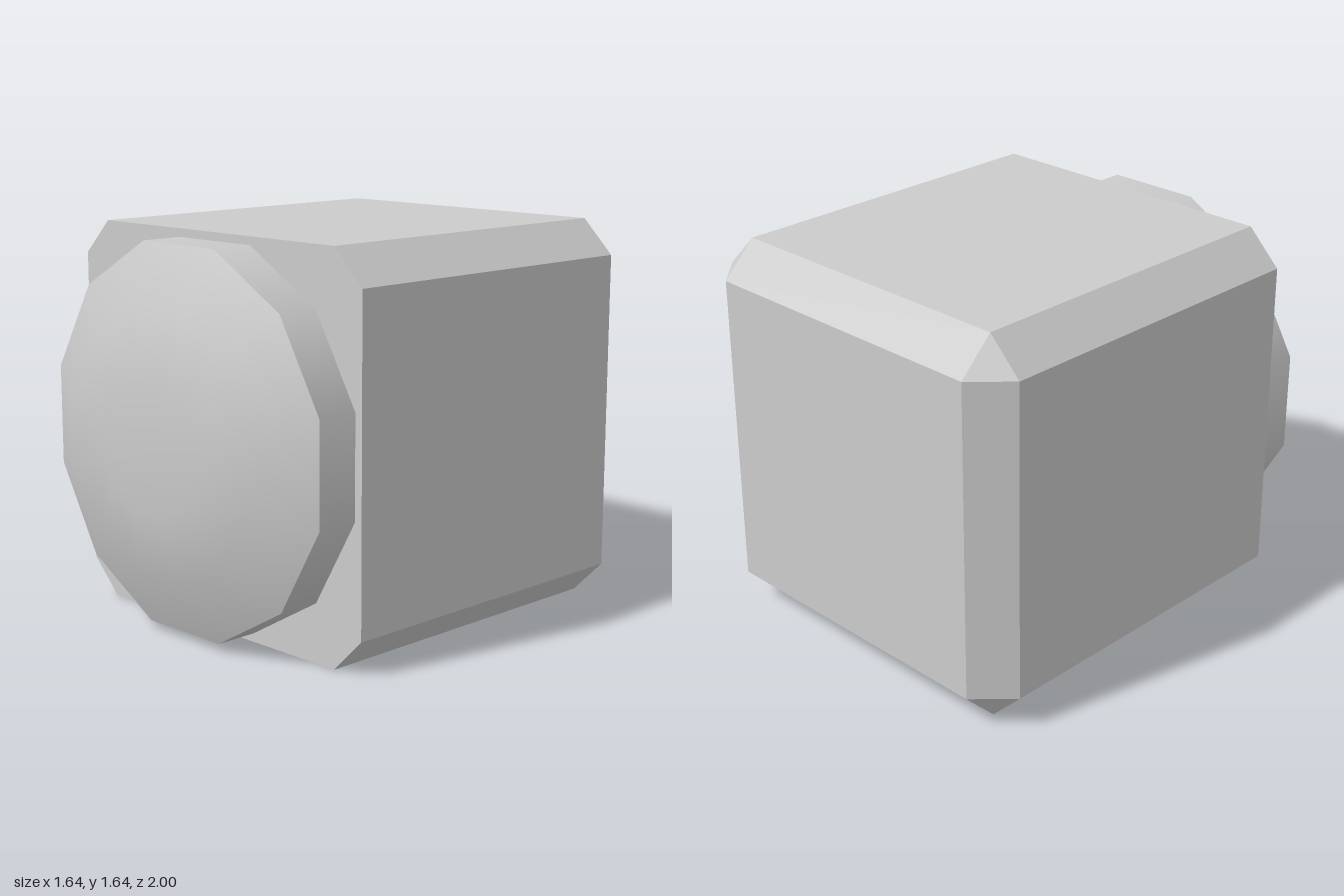
import * as THREE from 'three';
import { ConvexGeometry } from 'three/addons/geometries/ConvexGeometry.js';

const HALF = 0.82, BEVEL = 0.145, INNER = HALF - BEVEL;
const FRONT = 0.64, BACK = -1;

// Block with chamfered long edges and a chamfered back
function bodyGeometry() {
  const points = [];
  for (const sx of [-1, 1]) for (const sy of [-1, 1]) {
    for (const z of [FRONT, BACK + BEVEL]) {
      points.push(new THREE.Vector3(sx * HALF, sy * INNER, z));
      points.push(new THREE.Vector3(sx * INNER, sy * HALF, z));
    }
    points.push(new THREE.Vector3(sx * INNER, sy * INNER, BACK));
  }
  return new ConvexGeometry(points);
}

// Twelve-sided turned surface whose axis points forward
function turned(profile) {
  const points = profile.map(([r, z]) => new THREE.Vector2(r, z));
  return new THREE.LatheGeometry(points, 12, Math.PI / 12).rotateX(Math.PI / 2);
}

export function createModel() {
  const group = new THREE.Group();
  const material = new THREE.MeshStandardMaterial({ color: 0xcccccc });
  const add = (name, geometry) => {
    const mesh = new THREE.Mesh(geometry, material);
    mesh.name = name;
    mesh.position.y = HALF;
    group.add(mesh);
  };

  add('body', bodyGeometry());

  // Straight collar and shallow dome, kept apart for a sharp rim
  add('lensCollar', turned([[0.813, FRONT], [0.813, 0.825]]));
  add('lensDome', turned([[0.813, 0.825], [0.55, 0.945], [0.28, 1], [0, 1]]));

  return group;
}
